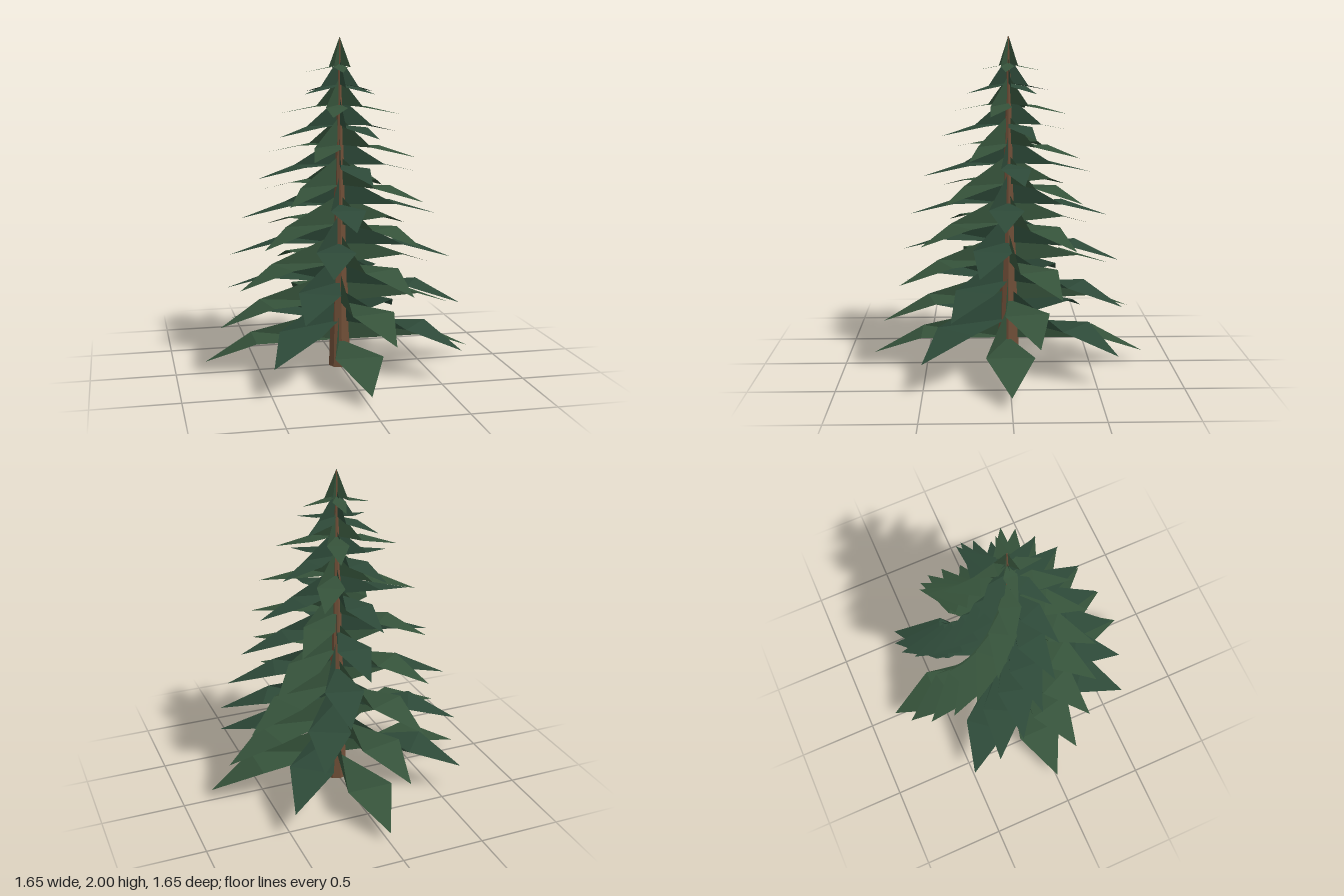
import * as THREE from 'three';

const LAYERS = 15;
const PER_LAYER = 4;
const TWIST = THREE.MathUtils.degToRad(51);

// One drooping bough along +x: upright where it leaves the trunk, twisting flat, then a pointed tip
function boughGeometry(i) {
  const left = 1 - i / LAYERS;
  const reach = 0.825 * Math.pow(left, 0.52);
  const mid = 0.53 * Math.pow(left, 0.8);
  const half = 0.16 * reach + 0.008;
  const midY = 0.2 + 0.1157 * i;
  const low = [0, 0.16 + 0.12 * i, 0];
  const high = [0, low[1] + 0.2 - 0.003 * i, 0];
  const near = [mid, midY, half], far = [mid, midY, -half];
  const tip = [reach, 0.07 + 0.123 * i, 0];
  const geometry = new THREE.BufferGeometry();
  geometry.setAttribute('position', new THREE.Float32BufferAttribute(
    [high, low, near, low, near, far, near, tip, far].flat(), 3));
  geometry.computeVertexNormals();
  return geometry;
}

export function createModel() {
  const tree = new THREE.Group();
  tree.name = 'conifer';

  const bark = new THREE.MeshStandardMaterial({ color: 0x6f4e37, flatShading: true });
  const greens = [0x35523a, 0x2d4938].map((color) =>
    new THREE.MeshStandardMaterial({ color, flatShading: true, side: THREE.DoubleSide }));

  // Tapered trunk
  const trunk = new THREE.Mesh(new THREE.CylinderGeometry(0.004, 0.067, 1.99, 8), bark);
  trunk.name = 'trunk';
  trunk.position.y = 0.995;
  tree.add(trunk);

  // Whorls of four boughs, each turned on from the one below
  for (let i = 0; i < LAYERS; i++) {
    const whorl = new THREE.Group();
    whorl.name = `whorl${i + 1}`;
    const geometry = boughGeometry(i);
    for (let k = 0; k < PER_LAYER; k++) {
      const bough = new THREE.Mesh(geometry, greens[i % 2]);
      bough.name = 'bough';
      bough.rotation.y = i * TWIST + (k * Math.PI * 2) / PER_LAYER;
      whorl.add(bough);
    }
    tree.add(whorl);
  }
  return tree;
}
